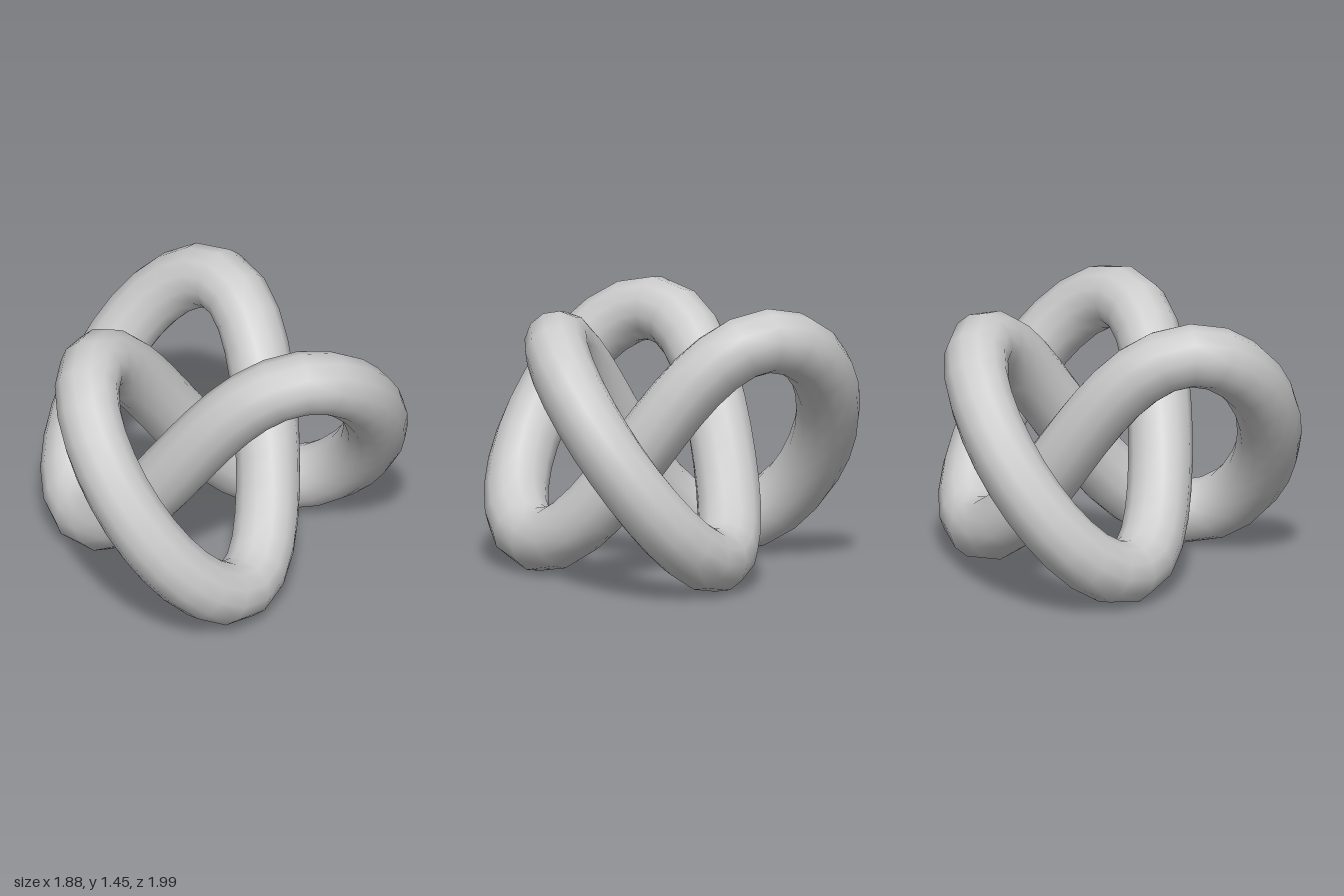
import * as THREE from 'three';

// Closed three-lobed knot centreline, built from a few harmonics
class TrefoilCurve extends THREE.Curve {
  getPoint(u, target = new THREE.Vector3()) {
    const t = u * Math.PI * 2;
    const a = 0.612, b = 0.238, c = 0.047;
    return target.set(
      0.121 - (a * Math.cos(2 * t) + b * Math.cos(t) + c * Math.cos(5 * t)),
      0.725 + 0.557 * Math.sin(3 * t),
      -(a * Math.sin(2 * t) - b * Math.sin(t) + c * Math.sin(5 * t))
    );
  }
}

export function createModel() {
  const group = new THREE.Group();
  group.name = 'trefoilKnot';

  // Single smooth tube swept along the knot
  const tube = new THREE.Mesh(
    new THREE.TubeGeometry(new TrefoilCurve(), 72, 0.169, 12, true),
    new THREE.MeshStandardMaterial({ color: 0xcccccc })
  );
  tube.name = 'knotTube';
  group.add(tube);
  return group;
}
